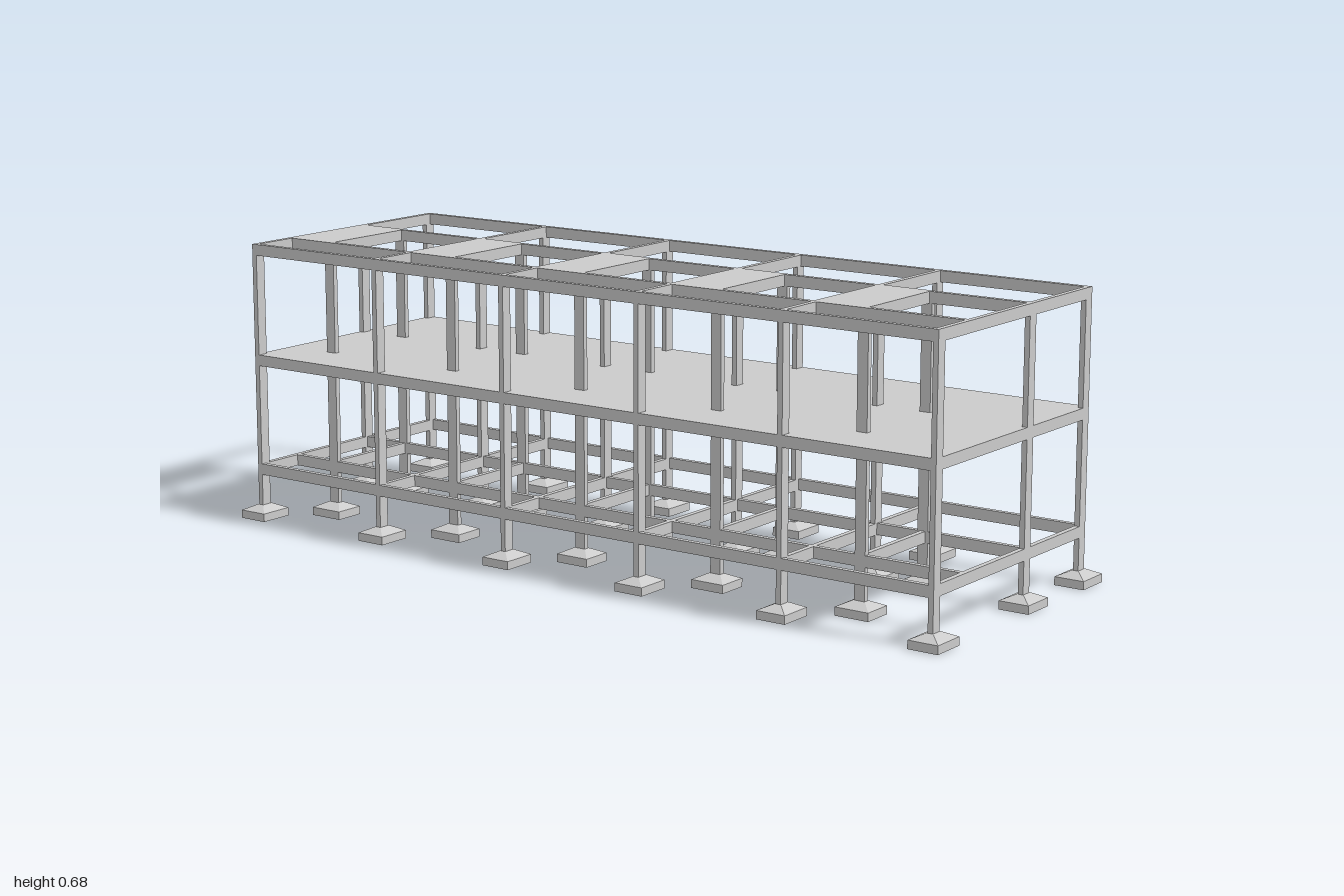
import * as THREE from 'three';

export function createModel() {
  const model = new THREE.Group();
  const material = new THREE.MeshStandardMaterial({ color: 0xcccccc, flatShading: true });

  // Axis-aligned box given by its extents
  function box(parent, name, x0, x1, y0, y1, z0, z1) {
    const mesh = new THREE.Mesh(new THREE.BoxGeometry(x1 - x0, y1 - y0, z1 - z0), material);
    mesh.name = name;
    mesh.position.set((x0 + x1) / 2, (y0 + y1) / 2, (z0 + z1) / 2);
    parent.add(mesh);
  }

  const group = (name) => {
    const g = new THREE.Group();
    g.name = name;
    model.add(g);
    return g;
  };

  const T = 0.013, H = T / 2;          // member thickness
  const W = 0.027;                     // column width and beam depth
  const X = 0.33, MID = 0.065, INNER = -0.196;
  const TOP = 0.683, BAY = 0.385, OFFSET = 0.1275;
  const frames = [0, 1, 2, 3, 4, 5].map((i) => -0.9625 + i * BAY);
  const bays = frames.slice(0, 5);
  const zEnd = frames[5] + H;

  // Pad footing with a tapered top
  function footing(parent, x, z, w, d, cw, cd) {
    box(parent, 'footingPad', x - w / 2, x + w / 2, 0, 0.02, z - d / 2, z + d / 2);
    const geometry = new THREE.BoxGeometry(w, 0.013, d);
    const p = geometry.attributes.position;
    for (let i = 0; i < p.count; i++) {
      if (p.getY(i) > 0) {
        p.setX(i, Math.sign(p.getX(i)) * (cw / 2 + 0.003));
        p.setZ(i, Math.sign(p.getZ(i)) * (cd / 2 + 0.003));
      }
    }
    geometry.computeVertexNormals();
    const taper = new THREE.Mesh(geometry, material);
    taper.name = 'footingTaper';
    taper.position.set(x, 0.0265, z);
    parent.add(taper);
  }

  // Columns with their footings
  const columns = group('columns');
  function column(x, z, w, d, fw, fd) {
    box(columns, 'column', x - w / 2, x + w / 2, 0.02, TOP - 0.001, z - d / 2, z + d / 2);
    footing(columns, x, z, fw, fd, w, d);
  }
  for (const z of frames) {
    for (const x of [-X + W / 2, MID, X - W / 2]) column(x, z, W, T, 0.087, 0.075);
  }
  for (const z of bays) {
    for (const x of [INNER, MID]) column(x, z + OFFSET, T, W, 0.077, 0.087);
  }

  // Beam grid at the ground, upper floor and roof
  for (const [name, top] of [['groundBeams', 0.137], ['floorBeams', 0.41], ['roofBeams', TOP]]) {
    const g = group(name);
    const y = top - W;
    for (const z of frames) box(g, 'crossBeam', -X, X, y, top, z - H, z + H);
    for (const x of [-X + H, INNER, MID, X - H]) {
      box(g, 'longBeam', x - H, x + H, y, top, -zEnd, zEnd);
    }
    for (const z of bays) {
      box(g, 'innerBeam', INNER, MID, y, top, z + OFFSET - H, z + OFFSET + H);
    }
  }

  // Upper floor: thin slab on joists running across
  const floor = group('upperFloor');
  box(floor, 'floorSlab', -X + 0.001, X - 0.001, 0.398, 0.41, -zEnd + 0.001, zEnd - 0.001);
  for (const z of bays) {
    for (let i = 1; i < 10; i++) {
      const c = z + (i * BAY) / 10;
      box(floor, 'floorJoist', -X + H, X - H, 0.386, 0.399, c - 0.007, c + 0.007);
    }
  }

  // Small roof slabs, joists running lengthwise
  const roof = group('roofSlabs');
  for (const z of bays) {
    box(roof, 'roofSlab', INNER, MID, 0.671, TOP, z, z + OFFSET);
    for (let i = 1; i < 7; i++) {
      const c = INNER + (i * (MID - INNER)) / 7;
      box(roof, 'roofJoist', c - 0.007, c + 0.007, 0.659, 0.672, z, z + OFFSET);
    }
  }

  return model;
}
